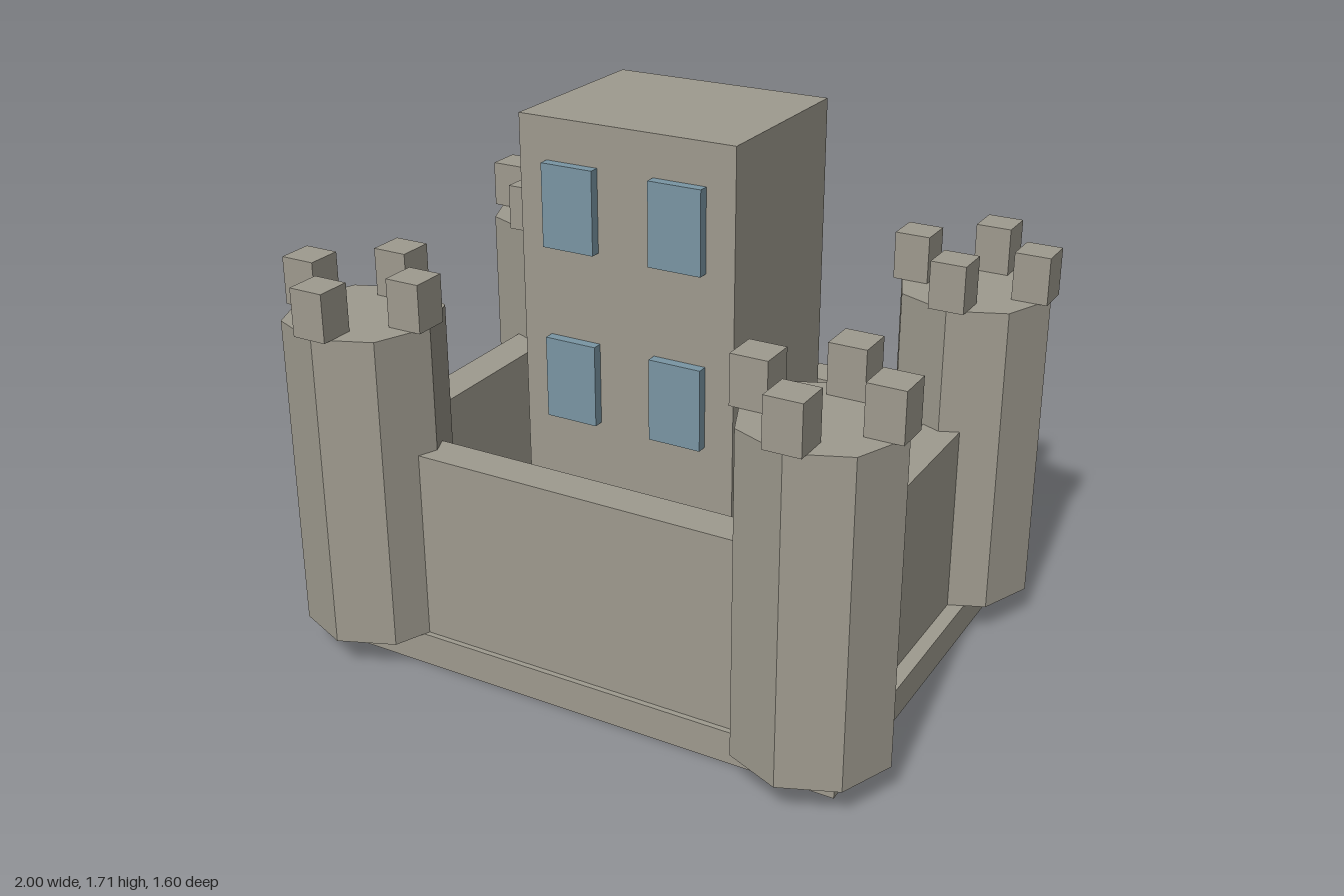
import * as THREE from 'three';

export function createModel() {
  const castle = new THREE.Group();
  castle.name = 'castle';

  const stone = new THREE.MeshStandardMaterial({ color: 0x9f9b8f });
  stone.name = 'stone';
  stone.flatShading = true;
  const glass = new THREE.MeshStandardMaterial({ color: 0x7a96a4 });
  glass.name = 'window blue';

  const TOWER_X = 0.75, TOWER_Z = 0.55;
  const FLOOR = 0.105, WALL_TOP = 0.715, KEEP_TOP = 1.71, TOWER_TOP = 1.11;

  // Box placed by its bottom centre
  function box(parent, name, material, w, h, d, x, y, z) {
    const mesh = new THREE.Mesh(new THREE.BoxGeometry(w, h, d), material);
    mesh.name = name;
    mesh.position.set(x, y + h / 2, z);
    parent.add(mesh);
  }

  // Foundation slab and central keep
  box(castle, 'foundation', stone, 1.715, FLOOR, 1.255, 0, 0, 0);
  box(castle, 'keep', stone, 0.70, KEEP_TOP - FLOOR, 0.575, 0, FLOOR, 0);

  // Curtain walls running between the tower centres
  const wallHeight = WALL_TOP - FLOOR;
  for (const s of [1, -1]) {
    const face = s > 0 ? 'front' : 'back';
    const side = s > 0 ? 'left' : 'right';
    box(castle, face + 'Wall', stone, 2 * TOWER_X, wallHeight, 0.12, 0, FLOOR, s * TOWER_Z);
    box(castle, side + 'Wall', stone, 0.12, wallHeight, 2 * TOWER_Z, s * TOWER_X, FLOOR, 0);

    // Two rows of raised windows on the front and back of the keep
    for (const x of [-0.175, 0.175]) {
      for (const y of [0.795, 1.33]) {
        box(castle, face + 'Window', glass, 0.168, 0.253, 0.035, x, y, s * 0.302);
      }
    }
  }

  // Octagonal corner towers, each with four merlons
  const towerHeight = TOWER_TOP - FLOOR;
  for (const sx of [1, -1]) {
    for (const sz of [1, -1]) {
      const tower = new THREE.Group();
      tower.name = (sz > 0 ? 'front' : 'back') + (sx > 0 ? 'Left' : 'Right') + 'Tower';
      tower.position.set(sx * TOWER_X, 0, sz * TOWER_Z);
      const shaft = new THREE.Mesh(new THREE.CylinderGeometry(0.242, 0.242, towerHeight, 8), stone);
      shaft.name = 'towerShaft';
      shaft.position.y = FLOOR + towerHeight / 2;
      tower.add(shaft);
      for (const [dx, dz] of [[1, 0], [-1, 0], [0, 1], [0, -1]]) {
        box(tower, 'merlon', stone, 0.112, 0.15, 0.112, dx * 0.192, TOWER_TOP, dz * 0.192);
      }
      castle.add(tower);
    }
  }

  return castle;
}
